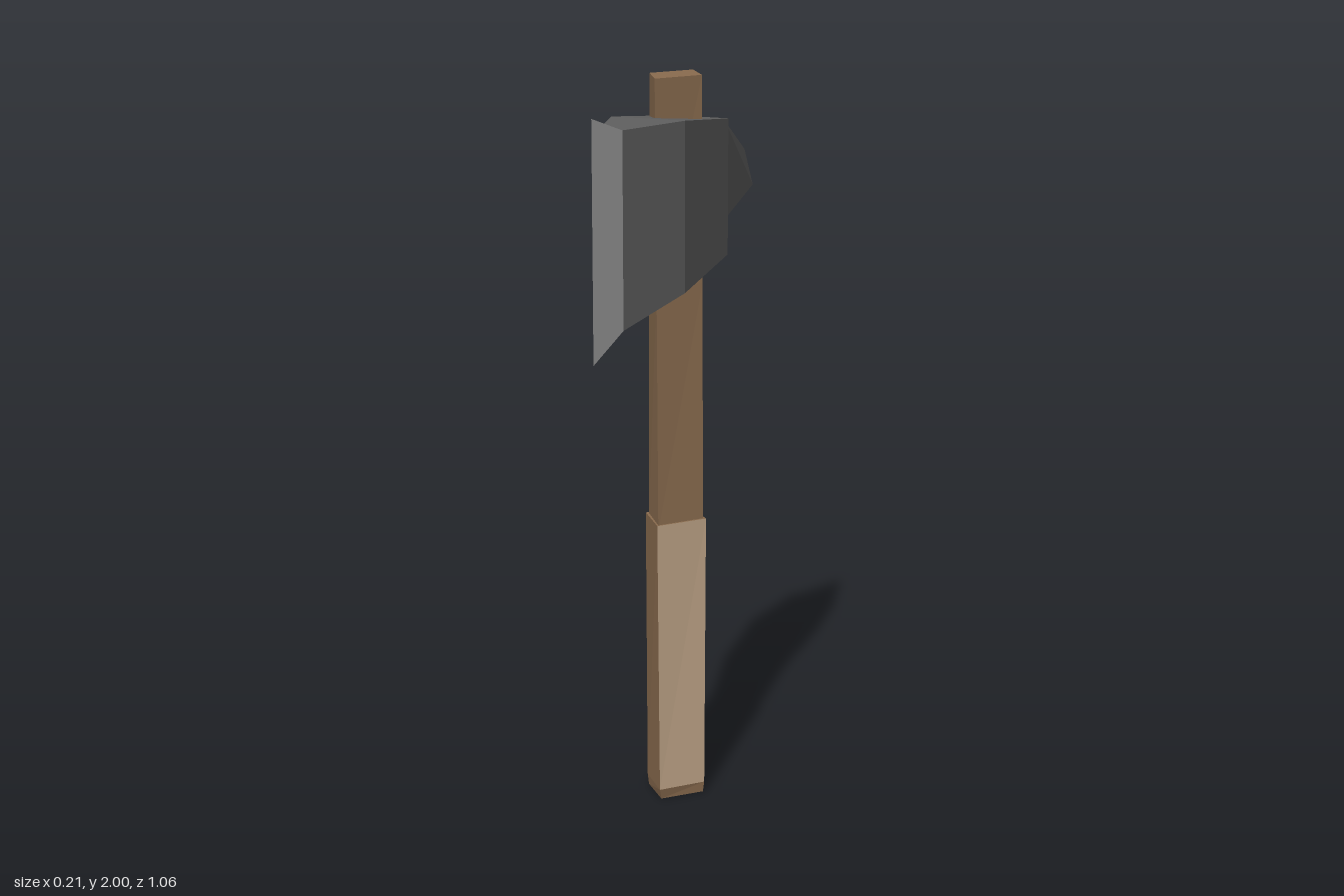
import * as THREE from 'three';

const material = (name, color) => new THREE.MeshStandardMaterial({ name, color, flatShading: true });

// Skins a list of four-cornered rings; sides lists a material index per side.
function loft(rings, { sides = [0, 0, 0, 0], capStart = false, capEnd = false } = {}) {
  const geometry = new THREE.BufferGeometry();
  const positions = [];
  const tri = new THREE.Triangle();
  const quad = (a, b, c, d, materialIndex) => {
    const start = positions.length / 3;
    for (const corners of [[a, b, c], [a, c, d]]) {
      tri.set(...corners.map((p) => new THREE.Vector3(...p)));
      if (tri.getArea() > 1e-7) positions.push(...corners.flat()); // skip collapsed triangles
    }
    geometry.addGroup(start, positions.length / 3 - start, materialIndex);
  };
  for (let r = 0; r < rings.length - 1; r++) {
    const lower = rings[r], upper = rings[r + 1];
    for (let i = 0; i < 4; i++) {
      const j = (i + 1) % 4;
      quad(lower[i], lower[j], upper[j], upper[i], sides[i]);
    }
  }
  if (capStart) quad(...[...rings[0]].reverse(), 0);
  if (capEnd) quad(...rings[rings.length - 1], 0);
  geometry.setAttribute('position', new THREE.Float32BufferAttribute(positions, 3));
  geometry.computeVertexNormals();
  return geometry;
}

// Slightly twisted diamond across the handle: front, right, back, left corners.
const diamond = (y, halfWidth, front, back) => [
  [-0.006, y, front],
  [halfWidth, y, 0.012],
  [0.002, y, back],
  [-halfWidth, y, 0.024],
];

// Upright rectangle across the head.
const slab = (z, halfWidth, bottom, top) => [
  [-halfWidth, bottom, z],
  [halfWidth, bottom, z],
  [halfWidth, top, z],
  [-halfWidth, top, z],
];

export function createModel() {
  const wood = material('wood', 0x8a6c4f);
  const grip = material('pale grip', 0xbca285);
  const steel = material('dark steel', 0x606060);
  const edge = material('sharpened edge', 0x9e9e9e);

  const model = new THREE.Group();
  model.name = 'axe';
  const add = (name, geometry, mat) => {
    const mesh = new THREE.Mesh(geometry, mat);
    mesh.name = name;
    model.add(mesh);
  };

  // Handle: shaft, thicker grip with two pale sides, and a bevelled butt
  add('shaft', loft([
    diamond(0.78, 0.078, 0.122, -0.07),
    diamond(1.45, 0.075, 0.13, -0.079),
    diamond(2, 0.072, 0.139, -0.092),
  ], { capEnd: true }), [wood]);
  add('grip', loft([
    diamond(0.03, 0.084, 0.115, -0.062),
    diamond(0.8, 0.087, 0.129, -0.075),
  ], { sides: [1, 0, 1, 0], capEnd: true }), [wood, grip]);
  add('butt', loft([
    diamond(0, 0.08, 0.105, -0.055),
    diamond(0.03, 0.084, 0.115, -0.062),
  ], { capStart: true }), [wood]);

  // Head body, widest at the cheeks and narrowing to the blade
  add('head', loft([
    slab(-0.15, 0.08, 1.5, 1.868),
    slab(0.195, 0.103, 1.46, 1.905),
    slab(0.42, 0.032, 1.4, 1.905),
  ], { capStart: true }), [steel]);

  // Flared blade edge
  add('bladeEdge', loft([
    slab(0.42, 0.032, 1.4, 1.905),
    slab(0.53, 0, 1.33, 1.945),
  ]), [edge]);

  // Rear spike, ending in a slanted ridge
  const spikeTip = [[0, 1.63, -0.53], [0, 1.63, -0.53], [0, 1.74, -0.465], [0, 1.74, -0.465]];
  add('spike', loft([spikeTip, slab(-0.15, 0.072, 1.597, 1.858)]), [steel]);

  return model;
}
